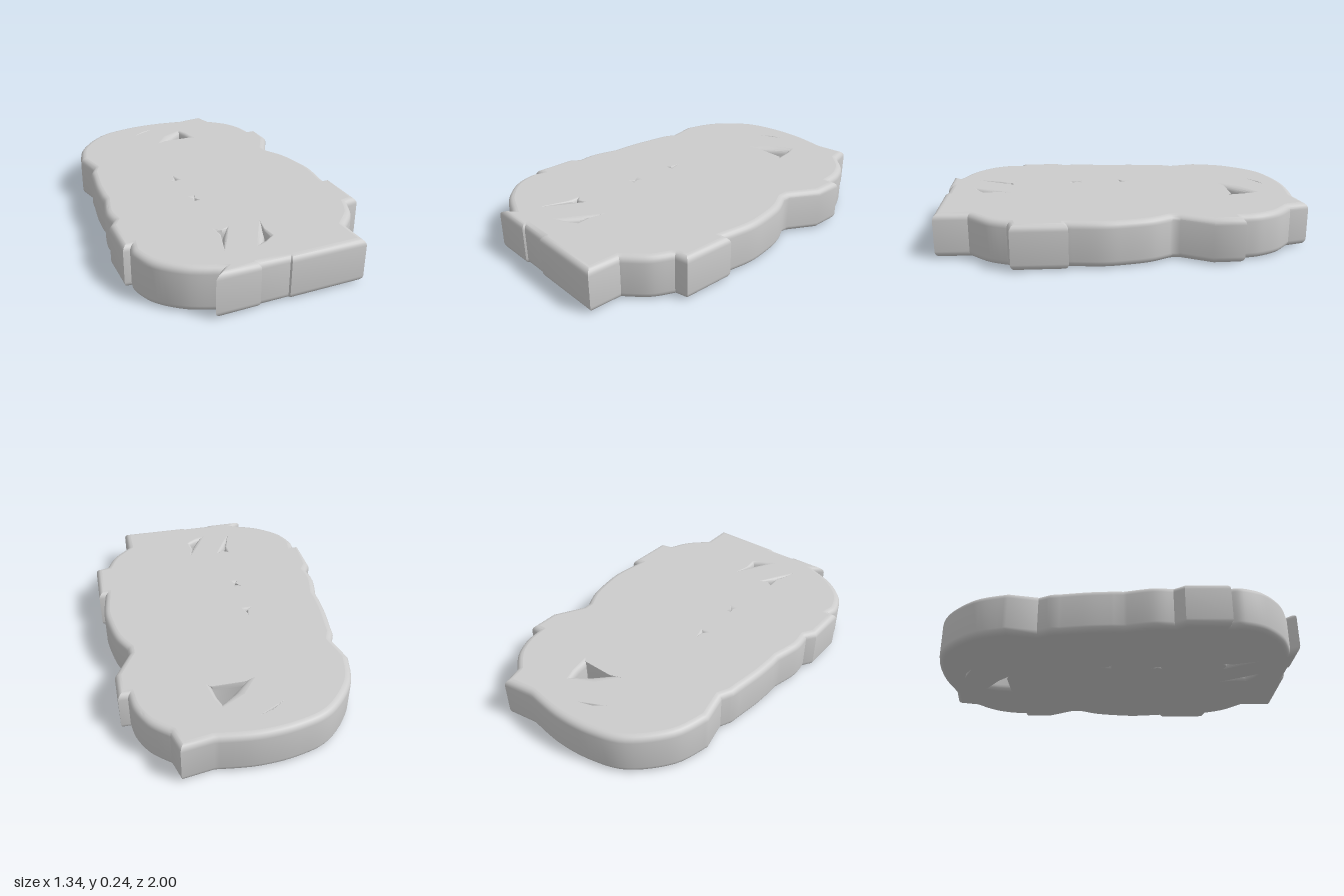
import * as THREE from 'three';
import { mergeGeometries, toCreasedNormals } from 'three/addons/utils/BufferGeometryUtils.js';

const H = 0.24, R = 0.035, STEPS = 5;
const material = new THREE.MeshStandardMaterial({ color: 0xcccccc });
const V = (a) => a.map(([x, z]) => new THREE.Vector2(x, z));
const line = (...a) => V(a);
const curve = (...a) => new THREE.SplineCurve(V(a)).getPoints((a.length - 1) * 6);

// Slab outline as (x, z), running from the back corner round by the left side
function outlinePoints() {
  const runs = [
    line([0.405, -1.0]),
    curve([0.435, -0.89], [0.53, -0.8], [0.585, -0.69], [0.6, -0.595]),
    line([0.65, -0.595], [0.65, -0.43], [0.56, -0.27]),
    curve([0.56, -0.23], [0.615, -0.12], [0.645, 0.02], [0.655, 0.14], [0.635, 0.305]),
    line([0.67, 0.305], [0.665, 0.595], [0.615, 0.605]),
    curve([0.595, 0.61], [0.54, 0.72], [0.44, 0.82]),
    line([0.44, 1.0], [0.025, 1.0], [0.02, 0.99], [-0.13, 0.99], [-0.135, 1.0], [-0.365, 1.0]),
    curve([-0.325, 0.955], [-0.47, 0.89], [-0.59, 0.78], [-0.64, 0.66], [-0.635, 0.595]),
    line([-0.67, 0.595], [-0.67, 0.36]),
    curve([-0.635, 0.305], [-0.643, 0.2], [-0.61, 0.05]),
    curve([-0.612, 0.0], [-0.605, -0.13], [-0.585, -0.28]),
    curve([-0.58, -0.33], [-0.55, -0.395]),
    curve([-0.585, -0.55], [-0.525, -0.74], [-0.365, -0.915], [-0.18, -0.982], [0.03, -1.0], [0.24, -0.975]),
  ];
  return runs.flat();
}

// Inward mitred offset of a closed outline
function inset(pts, d) {
  const n = pts.length;
  const normal = (a, b) => {
    const e = b.clone().sub(a).normalize();
    return new THREE.Vector2(-e.y, e.x);
  };
  return pts.map((p, i) => {
    const n1 = normal(pts[(i + n - 1) % n], p), n2 = normal(p, pts[(i + 1) % n]);
    const k = d / Math.max(0.4, 1 + n1.dot(n2));
    return p.clone().addScaledVector(n1.add(n2), k);
  });
}

// Wall from top to bottom: rim at both faces, rounding over to the waist between
function wall(rim, waist) {
  const levels = [];
  for (let i = 0; i <= STEPS; i++) {
    const t = (i / STEPS) * Math.PI / 2;
    levels.push([Math.sin(t), H - R + R * Math.cos(t)]);
  }
  levels.push(...levels.map(([f, y]) => [f, H - y]).reverse());
  const pos = [], index = [], n = rim.length;
  levels.forEach(([f, y], j) => rim.forEach((p, i) => {
    const q = p.clone().lerp(waist[i], f);
    pos.push(q.x, y, q.y);
    if (j === levels.length - 1) return;
    const a = j * n + i, b = j * n + (i + 1) % n;
    index.push(a, b, a + n, b, b + n, a + n);
  }));
  const g = new THREE.BufferGeometry();
  g.setAttribute('position', new THREE.Float32BufferAttribute(pos, 3));
  g.setIndex(index);
  return toCreasedNormals(g, 0.55);
}

// Flat face with openings; sign is 1 for the top and -1 for the bottom
function face(rim, openings, sign) {
  const flip = (pts) => pts.map((p) => new THREE.Vector2(p.x, -sign * p.y));
  const shape = new THREE.Shape(flip(rim));
  openings.forEach((o) => shape.holes.push(new THREE.Path(flip(o.rim))));
  const g = new THREE.ShapeGeometry(shape);
  g.rotateX(-sign * Math.PI / 2);
  g.translate(0, sign > 0 ? H : 0, 0);
  return g;
}

export function createModel() {
  const group = new THREE.Group();
  const add = (name, geometry) => {
    const mesh = new THREE.Mesh(geometry, material);
    mesh.name = name;
    group.add(mesh);
  };

  // Through openings with flared mouths
  const openings = [
    { rim: line([0.16, -0.79], [0.03, -0.715], [-0.055, -0.605], [0, -0.628], [0.185, -0.628], [0.205, -0.605], [0.185, -0.72]),
      waist: line([0.15, -0.75], [0.08, -0.69], [0.015, -0.632], [0.02, -0.63], [0.17, -0.63], [0.175, -0.632], [0.165, -0.7]) },
    { rim: line([-0.12, 0.61], [-0.165, 0.63], [-0.205, 0.6], [-0.2, 0.68], [-0.245, 0.83], [-0.19, 0.74]),
      waist: line([-0.15, 0.635], [-0.17, 0.637], [-0.185, 0.635], [-0.18, 0.65], [-0.21, 0.74], [-0.18, 0.67]) },
    { rim: line([0.055, 0.61], [-0.01, 0.72], [-0.085, 0.85], [-0.02, 0.825], [0.045, 0.78], [0.035, 0.7]),
      waist: line([0.025, 0.7], [0.01, 0.75], [-0.02, 0.8], [-0.005, 0.792], [0.025, 0.77], [0.02, 0.73]) },
  ];
  // Small dents that close to a point
  const dent = (x, z, ...rim) => {
    const pts = V(rim);
    openings.push({ rim: pts, waist: pts.map(() => new THREE.Vector2(x, z)) });
  };
  dent(-0.155, -0.03, [-0.155, -0.09], [-0.165, -0.035], [-0.195, -0.01], [-0.13, -0.01]);
  dent(-0.155, 0.25, [-0.14, 0.21], [-0.18, 0.21], [-0.16, 0.245], [-0.175, 0.28], [-0.13, 0.28], [-0.15, 0.245]);
  dent(-0.075, -0.846, [-0.005, -0.875], [-0.08, -0.852], [-0.145, -0.805], [-0.075, -0.84]);

  const outline = outlinePoints();
  const rim = inset(outline, R);
  add('topFace', face(rim, openings, 1));
  add('bottomFace', face(rim, openings, -1));
  add('roundedEdge', wall(rim, outline));
  add('openingWalls', mergeGeometries(openings.map((o) => wall(o.rim, o.waist))));
  return group;
}
